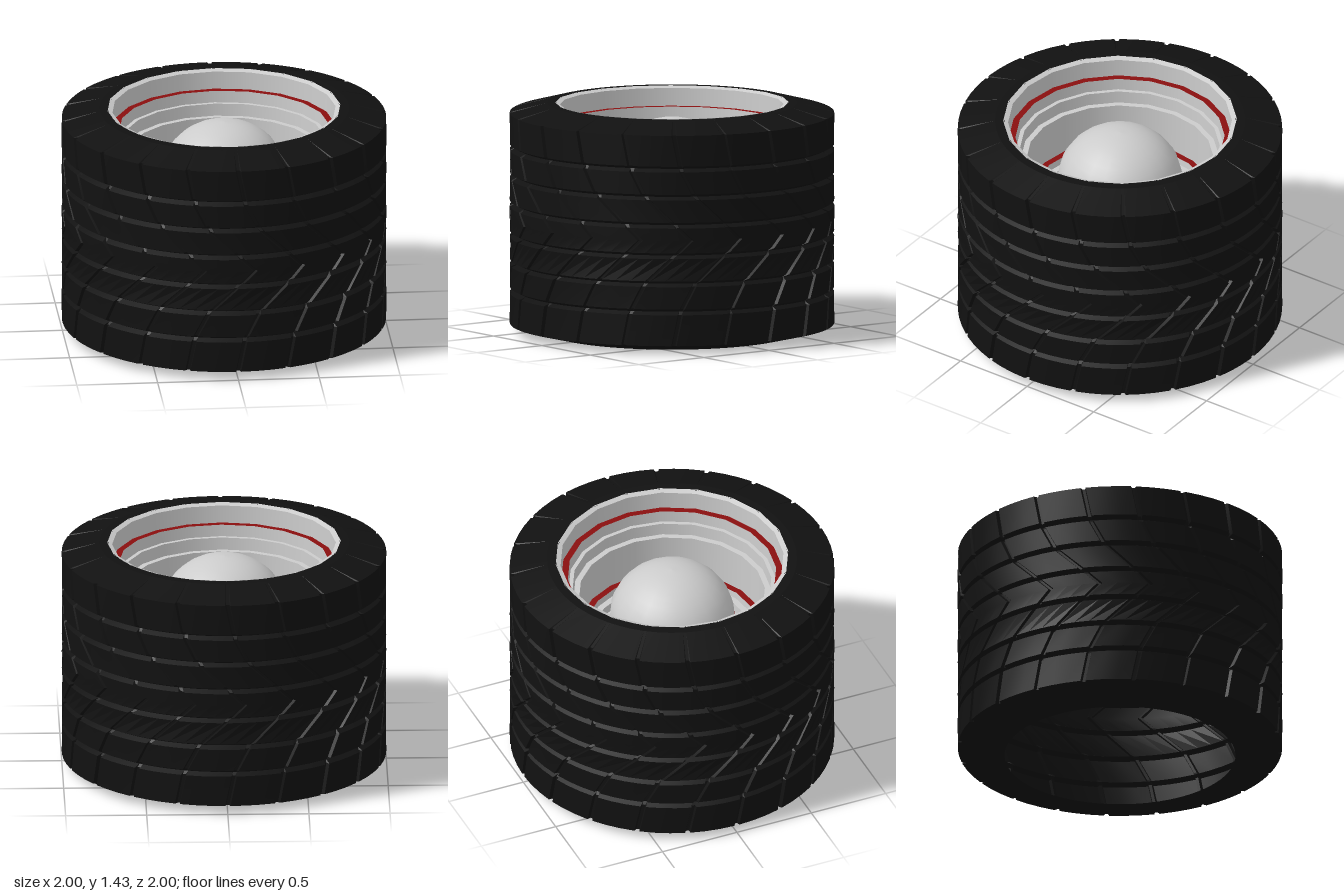
import * as THREE from 'three';
import { toCreasedNormals } from 'three/addons/utils/BufferGeometryUtils.js';

const MID = 0.715, HEIGHT = 1.43, BLOCKS = 20;
const DEG = Math.PI / 180;
const black = new THREE.MeshStandardMaterial({ color: 0x111111, side: THREE.DoubleSide });
const grey = new THREE.MeshStandardMaterial({ color: 0xcccccc, side: THREE.DoubleSide });
const red = new THREE.MeshStandardMaterial({ color: 0x8a0f0f, side: THREE.DoubleSide });

// Angle in degrees by which the arrow-shaped tread grooves lean at a height
const LEAN = [[0, 24], [0.1, 18], [0.27, 7.6], [0.44, 2.5], [0.655, 0], [1, 0]];
function lean(y) {
  const d = Math.abs(y - MID);
  const i = LEAN.findIndex((p, n) => n > 0 && d <= p[0]);
  const [d0, a0] = LEAN[i - 1], [d1, a1] = LEAN[i];
  return a0 + (a1 - a0) * (d - d0) / (d1 - d0);
}

// Tyre shell: a leaning grid around the axis, dented along the grooves
function tyre() {
  const rows = [[0.005, 0.712], [0.005, 0.77], [0.06, 1]];
  for (const y of [0.27, 0.445, 0.62, 0.81, 0.985, 1.16]) {
    rows.push([y - 0.018, 1], [y, 0.963], [y + 0.018, 1]);
    if (y === 0.62) rows.push([MID, 1]);
  }
  rows.push([HEIGHT - 0.06, 1], [HEIGHT, 0.77], [HEIGHT, 0.712]);

  // Columns of one tread block: angle in degrees, groove depth
  const block = [[0, 0], [0.4, 0.022], [1.5, 0.022], [1.9, 0], [7.2, 0], [12.6, 0]];
  const cols = BLOCKS * block.length;
  const positions = [], index = [];
  for (const [y, r] of rows) {
    for (let c = 0; c < cols; c++) {
      const [a, depth] = block[c % block.length];
      const angle = (Math.floor(c / block.length) * 360 / BLOCKS + a - 0.95 + lean(y)) * DEG;
      const radius = r < 0.9 ? r : Math.min(r, 1 - depth);
      positions.push(radius * Math.sin(angle), y, radius * Math.cos(angle));
    }
  }
  for (let j = 0; j < rows.length - 1; j++) {
    for (let c = 0; c < cols; c++) {
      const n = (c + 1) % cols;
      const p = j * cols + c, q = j * cols + n;
      index.push(p, q, q + cols, p, q + cols, p + cols);
    }
  }
  const geometry = new THREE.BufferGeometry();
  geometry.setAttribute('position', new THREE.Float32BufferAttribute(positions, 3));
  geometry.setIndex(index);
  return toCreasedNormals(geometry, 14 * DEG);
}

function band(name, points, material, sides = 20) {
  const profile = points.map(([r, y]) => new THREE.Vector2(r, y));
  const mesh = new THREE.Mesh(new THREE.LatheGeometry(profile, sides), material);
  mesh.name = name;
  return mesh;
}

export function createModel() {
  const model = new THREE.Group();
  model.name = 'wheel';

  const tyreMesh = new THREE.Mesh(tyre(), black);
  tyreMesh.name = 'tyre';
  model.add(tyreMesh);

  // Stepped rim, walked from the outer lip down to the hub
  const rim = new THREE.Group();
  rim.name = 'rim';
  const steps = [
    [0.72, 1.432], [0.69, 1.42], [0.685, 1.31], [0.645, 1.31], [0.64, 1.237], [0.615, 1.237],
    [0.61, 1.16], [0.575, 1.16], [0.57, 0.9], [0.53, 0.9], [0.525, 0.86], [0.485, 0.86],
    [0.48, 0.81], [0.455, 0.81], [0.45, 0.76], [0.4, 0.76],
  ];
  const redSteps = [2, 8];
  for (let i = 0; i < steps.length - 1; i++) {
    const isRed = redSteps.includes(i);
    rim.add(band(isRed ? 'redRing' : 'rimStep', [steps[i], steps[i + 1]], isRed ? red : grey));
  }
  model.add(rim);

  // Hub: red collar under a smooth dome
  model.add(band('hubCollar', [[0.4, 0.76], [0.385, 1.0]], red));
  const dome = [];
  for (let i = 0; i <= 10; i++) {
    const t = i / 10 * Math.PI / 2;
    dome.push([0.385 * Math.cos(t), 1.0 + 0.34 * Math.sin(t)]);
  }
  model.add(band('hubDome', dome, grey));

  return model;
}
